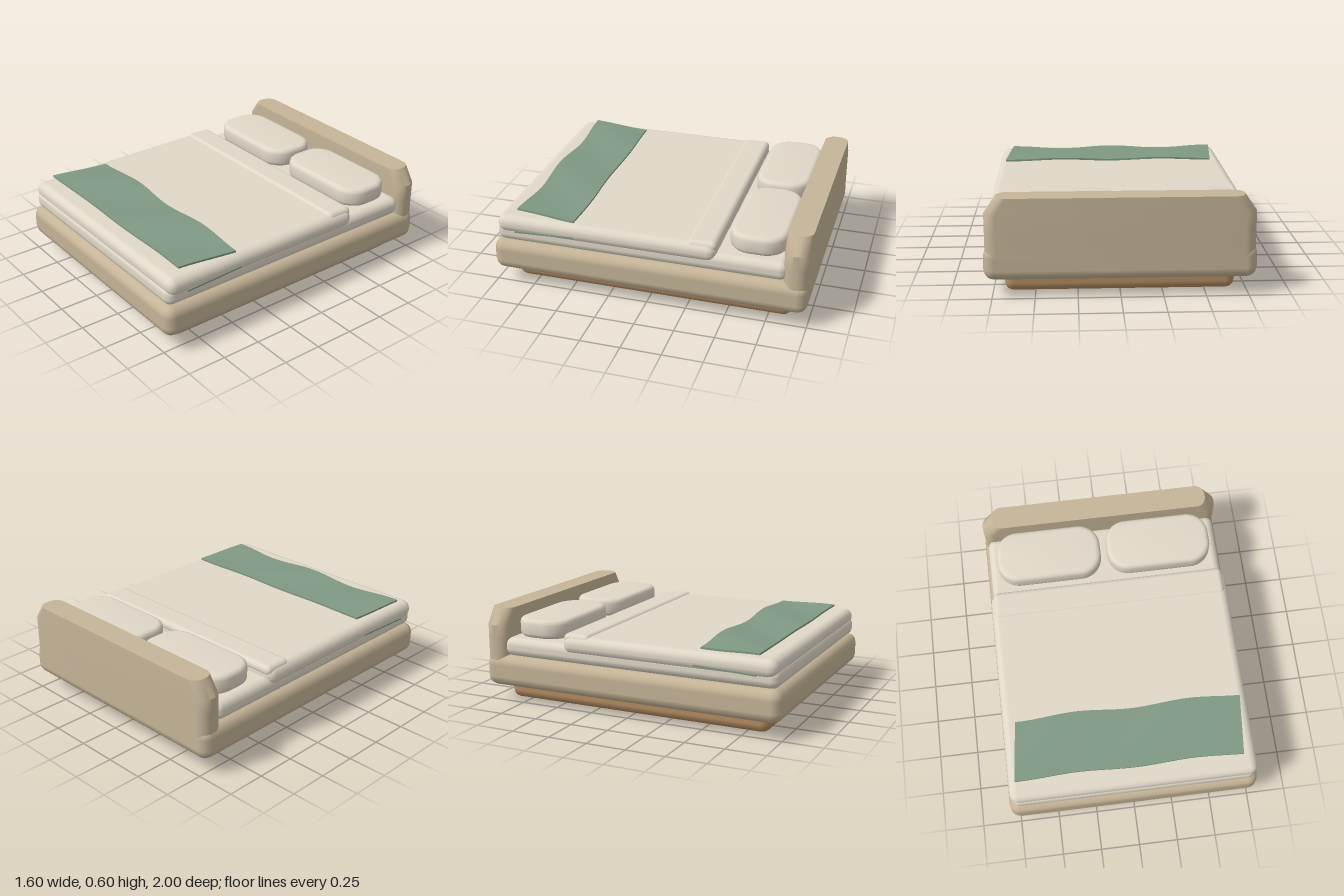
import * as THREE from 'three';
import { toCreasedNormals } from 'three/addons/utils/BufferGeometryUtils.js';
import { RoundedBoxGeometry } from 'three/addons/geometries/RoundedBoxGeometry.js';

const material = (name, color, side = THREE.FrontSide) => {
  const m = new THREE.MeshStandardMaterial({ color, side });
  m.name = name;
  return m;
};

// Rounded rectangle centred on the origin
function roundedRect(w, h, r) {
  const s = new THREE.Shape(), x = w / 2, y = h / 2;
  s.moveTo(-x + r, -y);
  s.lineTo(x - r, -y).absarc(x - r, -y + r, r, -Math.PI / 2, 0);
  s.lineTo(x, y - r).absarc(x - r, y - r, r, 0, Math.PI / 2);
  s.lineTo(-x + r, y).absarc(-x + r, y - r, r, Math.PI / 2, Math.PI);
  s.lineTo(-x, -y + r).absarc(-x + r, -y + r, r, Math.PI, Math.PI * 1.5);
  return s;
}

// Headboard: rounded plan swept upward, its ends slanting in over the top 0.1
function headboardGeometry() {
  const g = new THREE.ExtrudeGeometry(roundedRect(1.58, 0.155, 0.07),
    { depth: 0.4, steps: 4, bevelEnabled: false, curveSegments: 5 });
  g.rotateX(-Math.PI / 2).translate(0, 0.2, -0.922);
  const p = g.attributes.position;
  for (let i = 0; i < p.count; i++) {
    const t = Math.max(0, (p.getY(i) - 0.5) / 0.1);
    p.setX(i, p.getX(i) * (1 - 0.088 * t));
  }
  return toCreasedNormals(g, 0.6);
}

// Pillow: rounded plan with soft top and bottom rims
function pillowGeometry() {
  const b = 0.03;
  const g = new THREE.ExtrudeGeometry(roundedRect(0.69 - 2 * b, 0.355 - 2 * b, 0.11),
    { depth: 0.06, bevelSize: b, bevelThickness: b, bevelSegments: 3, curveSegments: 6 });
  g.rotateX(-Math.PI / 2).translate(0, b, 0);
  return toCreasedNormals(g, 0.6);
}

// Throw: thin slab rippling in height and along its edges
function throwGeometry() {
  const g = new THREE.BoxGeometry(1.44, 0.012, 0.385, 48, 1, 10);
  const p = g.attributes.position;
  for (let i = 0; i < p.count; i++) {
    const x = p.getX(i), y = p.getY(i), z = p.getZ(i);
    p.setXYZ(i,
      x - 0.04 * z / 0.4,
      y + 0.491 + 0.007 * Math.sin(x * 9 + z * 8),
      z + 0.65 + 0.009 * Math.cos(x * 8.6 - 0.3));
  }
  return toCreasedNormals(g, 0.6);
}

export function createModel() {
  const group = new THREE.Group();
  const linen = material('linen', 0xe0d8c8);
  const upholstery = material('upholstery', 0xc5b497);
  const wood = material('wood', 0xb48c62);
  const green = material('sage green', 0x7f9983);

  const add = (name, geometry, mat) => {
    const mesh = new THREE.Mesh(geometry, mat);
    mesh.name = name;
    group.add(mesh);
    return mesh;
  };
  // Soft box from half width, y range, z range and edge radius
  const softBox = (name, hw, y0, y1, z0, z1, r, mat) => {
    const g = new RoundedBoxGeometry(2 * hw, y1 - y0, z1 - z0, 2, r);
    add(name, g, mat).position.set(0, (y0 + y1) / 2, (z0 + z1) / 2);
  };

  // Base and bedding layers
  softBox('plinth', 0.683, 0, 0.16, -0.89, 0.89, 0.055, wood);
  softBox('bedFrame', 0.8, 0.1, 0.305, -1, 1, 0.065, upholstery);
  softBox('mattress', 0.772, 0.3, 0.42, -0.87, 0.975, 0.05, linen);
  softBox('duvet', 0.785, 0.36, 0.477, -0.44, 0.967, 0.055, linen);
  softBox('duvetFold', 0.765, 0.42, 0.49, -0.44, -0.255, 0.034, linen);

  add('headboard', headboardGeometry(), upholstery);

  // Pillows
  for (const side of [-1, 1]) {
    add(side > 0 ? 'leftPillow' : 'rightPillow', pillowGeometry(), linen)
      .position.set(side * 0.367, 0.418, -0.663);
  }

  // Throw and the hems showing at the sides of the duvet
  add('throwBlanket', throwGeometry(), green);
  for (const side of [-1, 1]) {
    const hem = add('throwHem', new THREE.BoxGeometry(0.02, 0.01, 0.39), green);
    hem.position.set(side * 0.774, 0.389, 0.65);
    hem.rotation.x = 0.04;
  }
  return group;
}
